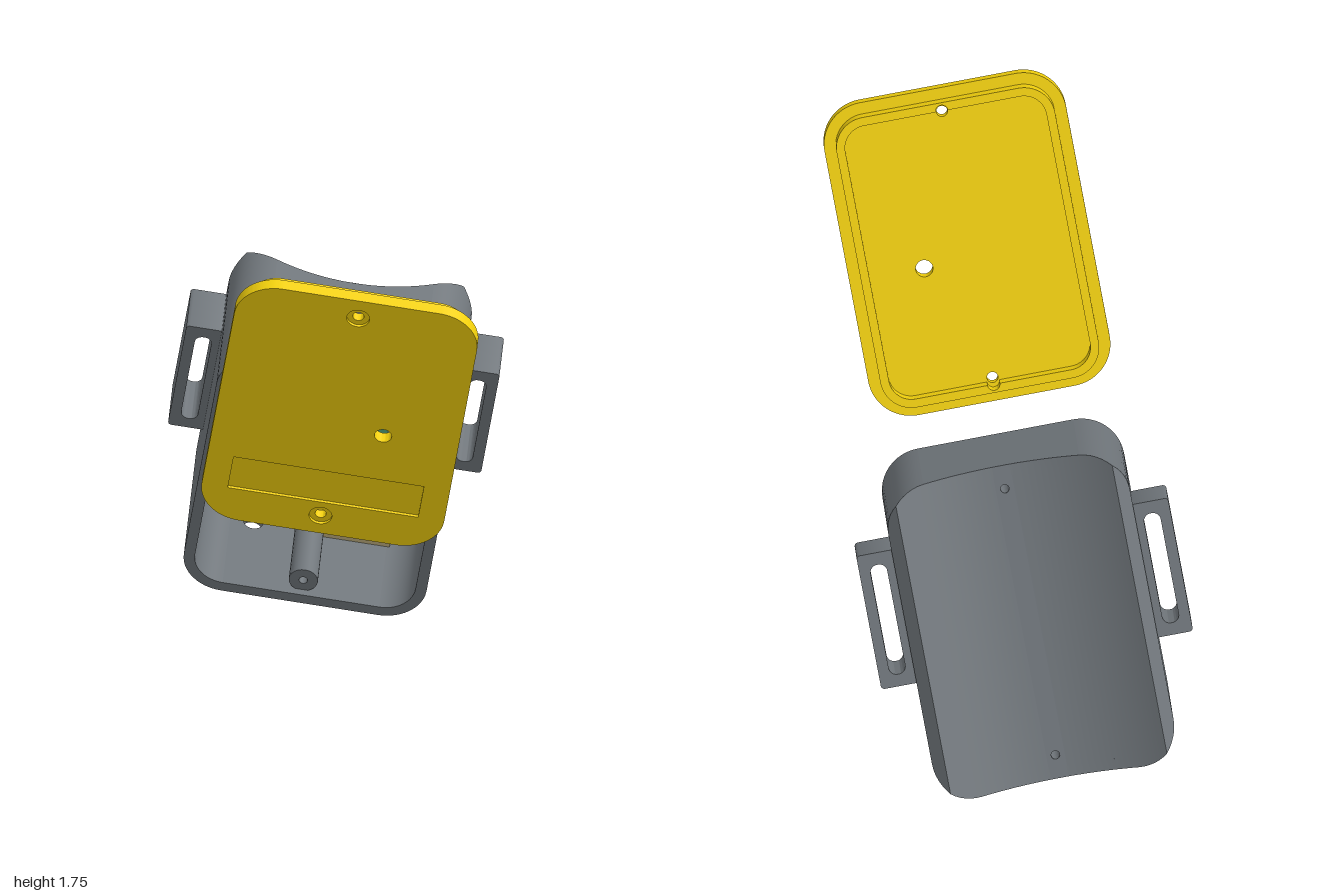
import * as THREE from 'three';
import { toCreasedNormals } from 'three/addons/utils/BufferGeometryUtils.js';

const W = 0.79, H = 1.056, R = 0.14, WALL = 0.036; // case outline
const CX = W / 2 - R, CY = H / 2 - R;              // corner centres
const MID = 0.41, FLOOR = -0.37, SCOOP = 0.65, SCREW = 0.45;
const PEAK = CX + R * Math.SQRT1_2;                // crest beside the hollow
const STRIP = 0.03;                                // half width of the flat strip with the screw holes

// depth of the case at u: a cylindrical hollow runs down the back, chamfered outside its crests
const depth = (u) => {
  const c = Math.min(Math.abs(u), PEAK);
  return MID + SCOOP - Math.sqrt(SCOOP * SCOOP - c * c) - 0.9 * (Math.abs(u) - c);
};

const mat = (color) => new THREE.MeshStandardMaterial({ color, side: THREE.DoubleSide });
const GREY = mat(0x70767b), YELLOW = mat(0xf2d00c), GREEN = mat(0x58ad82), DARK = mat(0x4a484a),
  LIGHT = mat(0xc8cac8), BLUE = mat(0x6c90c0), TAN = mat(0xc0b080);

function add(parent, name, geo, material, x = 0, y = 0, z = 0) {
  const mesh = new THREE.Mesh(geo, material);
  mesh.name = name;
  mesh.position.set(x, y, z);
  parent.add(mesh);
  return mesh;
}

// rounded rectangle, with optional half round notches at top and bottom
function roundRect(w, h, r, notch = 0, Type = THREE.Shape) {
  const s = new Type(), x = w / 2, y = h / 2, P = Math.PI;
  s.moveTo(x, -y + r);
  s.lineTo(x, y - r);
  s.absarc(x - r, y - r, r, 0, P / 2);
  if (notch) s.absarc(0, y, notch, 0, P);
  s.absarc(-x + r, y - r, r, P / 2, P);
  s.absarc(-x + r, -y + r, r, P, 1.5 * P);
  if (notch) s.absarc(0, -y, notch, P, 2 * P);
  s.absarc(x - r, -y + r, r, 1.5 * P, 2 * P);
  return s;
}

const hole = (x, y, r) => new THREE.Path().absarc(x, y, r, 0, Math.PI * 2);

const extrude = (shape, d) => toCreasedNormals(
  new THREE.ExtrudeGeometry(shape, { depth: d, bevelEnabled: false, curveSegments: 14 }), 0.5);

// surface through rows of points
function loft(rows) {
  const n = rows[0].length, index = [];
  for (let i = 0; i < rows.length - 1; i++) {
    for (let j = 0; j < n - 1; j++) {
      const a = i * n + j, b = a + 1, c = a + n, d = c + 1;
      index.push(a, b, c, b, d, c);
    }
  }
  const geo = new THREE.BufferGeometry();
  geo.setAttribute('position', new THREE.Float32BufferAttribute(rows.flat(2), 3));
  geo.setIndex(index);
  return toCreasedNormals(geo, 0.5);
}

function buildCase() {
  const g = new THREE.Group();
  g.name = 'case';

  // side wall with its two rounded corners: inside, rim, outside
  const rows = [];
  for (const s of [-1, 1]) {
    for (let k = 0; k <= 12; k++) {
      const a = (k / 12 + (s < 0 ? -1 : 0)) * Math.PI / 2;
      const at = (r, z) => [CX + r * Math.cos(a), s * CY + r * Math.sin(a), z];
      const o = at(R, 0);
      rows.push([at(R - WALL, FLOOR), at(R - WALL, 0), o, [o[0], o[1], -depth(o[0])]]);
    }
  }
  const side = loft(rows);
  add(g, 'leftWall', side, GREY);
  add(g, 'rightWall', side, GREY).rotation.z = Math.PI;

  // top and bottom walls, the bottom one with a cable hole
  for (const top of [true, false]) {
    const pts = [new THREE.Vector2(-CX, 0), new THREE.Vector2(CX, 0)];
    for (let k = 0; k <= 24; k++) {
      const u = CX - 2 * CX * k / 24;
      pts.push(new THREE.Vector2(u, -depth(u)));
    }
    const s = new THREE.Shape(pts);
    if (!top) s.holes.push(hole(-0.18, -0.3, 0.032));
    const geo = extrude(s, WALL).rotateX(Math.PI / 2);
    add(g, top ? 'topWall' : 'bottomWall', geo, GREY, 0, top ? H / 2 : -H / 2 + WALL);
  }

  // hollow back, either side of a narrow strip with screw holes
  const us = [];
  for (let k = 0; k <= 10; k++) us.push(STRIP + (CX - STRIP) * k / 10);
  for (let k = 1; k <= 12; k++) us.push(CX + R * Math.sin(k * Math.PI / 24));
  const back = loft(us.map((u) => {
    const h = CY + Math.sqrt(Math.max(0, R * R - Math.max(0, u - CX) ** 2));
    return [[u, -h, -depth(u)], [u, h, -depth(u)]];
  }));
  add(g, 'backLeft', back, GREY);
  add(g, 'backRight', back, GREY).rotation.z = Math.PI;
  const strip = new THREE.Shape();
  strip.moveTo(-STRIP, -H / 2).lineTo(STRIP, -H / 2).lineTo(STRIP, H / 2).lineTo(-STRIP, H / 2);
  const floor = roundRect(W - 2 * WALL, H - 2 * WALL, R - WALL);
  for (const s of [strip, floor]) {
    s.holes.push(hole(0, SCREW, 0.014), hole(0, -SCREW, 0.014));
  }
  add(g, 'backStrip', new THREE.ShapeGeometry(strip).rotateY(Math.PI), GREY, 0, 0, -depth(STRIP));
  add(g, 'floor', new THREE.ShapeGeometry(floor), GREY, 0, 0, FLOOR);

  // hollow screw posts
  const post = toCreasedNormals(new THREE.LatheGeometry([[0.047, FLOOR], [0.047, -0.025], [0.014, -0.025],
    [0.014, -MID]].map(([r, y]) => new THREE.Vector2(r, y)), 24).rotateX(Math.PI / 2), 0.5);
  for (const s of [-1, 1]) add(g, 'screwPost', post, GREY, 0, s * SCREW, 0);

  // strap loops
  const loop = roundRect(0.125, 0.45, 0.012);
  loop.holes.push(roundRect(0.054, 0.37, 0.025, 0, THREE.Path));
  const loopGeo = extrude(loop, 0.172);
  for (const s of [-1, 1]) add(g, 'strapLoop', loopGeo, GREY, s * (W / 2 + 0.0525), 0.11, -0.467);
  return g;
}

function buildElectronics() {
  const g = new THREE.Group();
  g.name = 'electronics';
  const board = roundRect(0.64, 0.77, 0.04);
  for (const x of [-0.275, 0.275]) for (const y of [-0.33, 0.33]) board.holes.push(hole(x, y, 0.02));
  add(g, 'circuitBoard', extrude(board, 0.02), GREEN, 0, 0, -0.28);
  // name, material, u range, v range, w range
  const block = (name, m, u0, u1, v0, v1, w0, w1) => add(g, name,
    new THREE.BoxGeometry(u1 - u0, v1 - v0, w1 - w0), m, (u0 + u1) / 2, (v0 + v1) / 2, (w0 + w1) / 2);
  block('moduleBase', DARK, -0.21, 0.11, -0.03, 0.38, -0.2, -0.17);
  block('moduleChip', DARK, -0.13, 0.07, 0.02, 0.21, -0.17, -0.14);
  for (const x of [-0.17, 0.02]) block('moduleSocket', LIGHT, x, x + 0.09, -0.06, 0.37, -0.26, -0.2);
  block('blueBoard', BLUE, -0.16, 0.15, -0.37, -0.15, -0.19, -0.17);
  block('blueBoardSocket', LIGHT, 0.06, 0.13, -0.35, -0.17, -0.26, -0.19);
  block('tallConnector', LIGHT, 0.13, 0.17, 0.18, 0.37, -0.26, -0.18);
  block('topConnector', LIGHT, 0.2, 0.29, 0.21, 0.34, -0.26, -0.23);
  for (let i = 0; i < 3; i++) {
    const v = -0.07 + i * 0.095;
    block('connectorBase', LIGHT, 0.19, 0.29, v, v + 0.07, -0.26, -0.22);
    block('connectorBack', LIGHT, 0.19, 0.22, v, v + 0.07, -0.22, -0.18);
  }
  block('lowConnector', LIGHT, 0.12, 0.18, -0.07, 0.0, -0.26, -0.19);
  block('cablePort', TAN, 0.045, 0.265, -H / 2 - 0.002, -0.36, -0.365, -0.28);
  return g;
}

function buildLid() {
  const g = new THREE.Group();
  g.name = 'lid';
  // face layer with label recess and countersinks, plate behind it, lip that enters the case
  const face = roundRect(W, H, R), plate = roundRect(W, H, R);
  for (const [s, r] of [[face, 0.037], [plate, 0.018]]) {
    s.holes.push(hole(0, SCREW, r), hole(0, -SCREW, r), hole(0.15, -0.053, 0.028));
  }
  const label = new THREE.Path();
  label.moveTo(-0.31, -0.39).lineTo(0.31, -0.39).lineTo(0.31, -0.25).lineTo(-0.31, -0.25).closePath();
  face.holes.push(label);
  add(g, 'lidFace', extrude(face, 0.01), YELLOW, 0, 0, -0.01);
  add(g, 'lidPlate', extrude(plate, 0.032), YELLOW, 0, 0, -0.042);
  const lip = roundRect(W - 0.076, H - 0.076, R - 0.038);
  lip.holes.push(roundRect(W - 0.132, H - 0.132, R - 0.066, 0.02, THREE.Path));
  add(g, 'lidLip', extrude(lip, 0.046), YELLOW, 0, 0, -0.088);
  return g;
}

export function createModel() {
  const root = new THREE.Group();
  root.name = 'openedEnclosure';
  const tilted = new THREE.Group();
  tilted.name = 'enclosure';
  tilted.rotation.set(THREE.MathUtils.degToRad(22.5), THREE.MathUtils.degToRad(-24), 0);
  tilted.position.set(0, 0.529, -0.276);
  const lid = buildLid();
  lid.position.set(-0.02, 0.996, 0.691);
  tilted.add(buildCase(), buildElectronics(), lid);
  root.add(tilted);
  return root;
}
